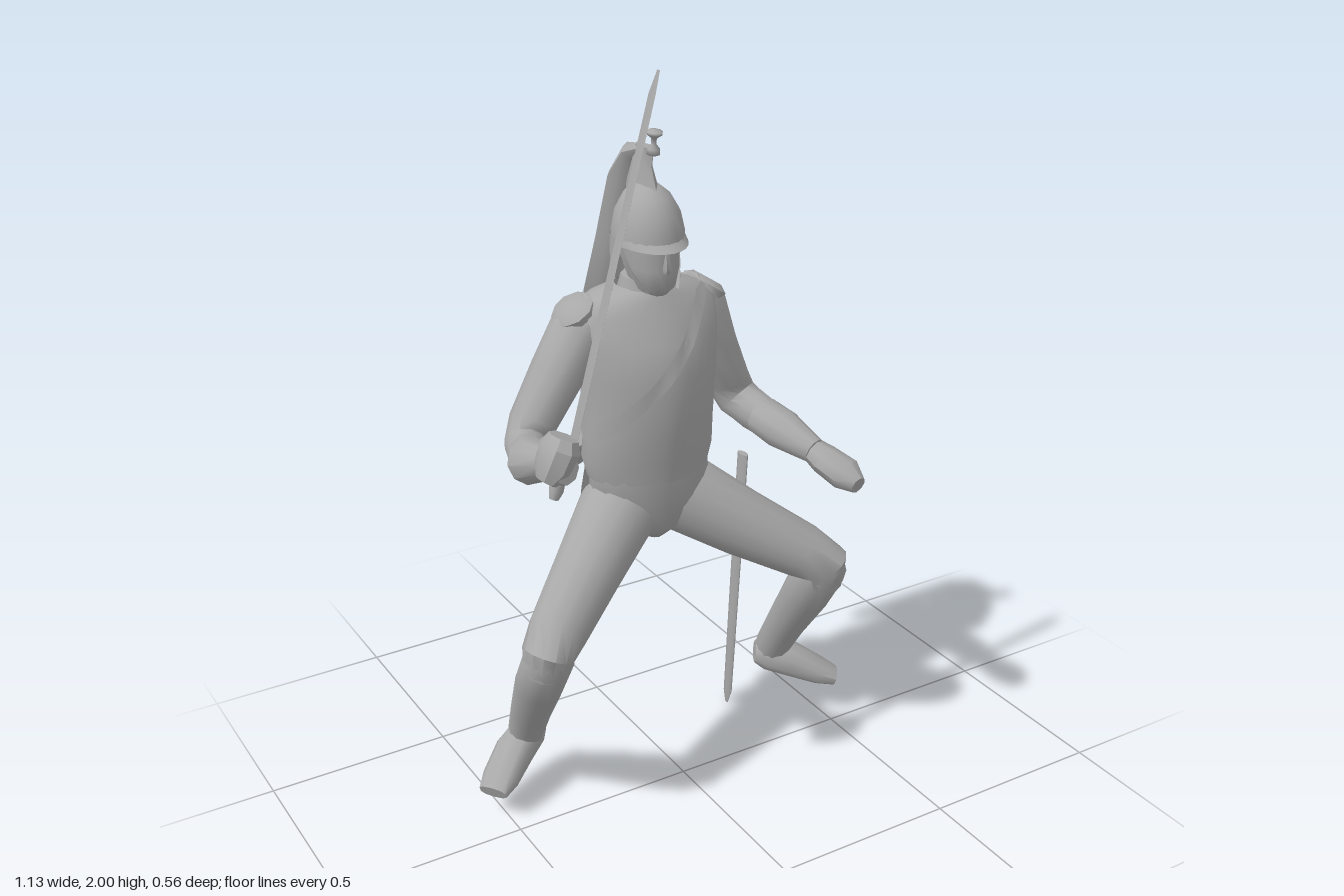
import * as THREE from 'three';
import { toCreasedNormals } from 'three/addons/utils/BufferGeometryUtils.js';

const X = new THREE.Vector3(1, 0, 0), Y = new THREE.Vector3(0, 1, 0);
const CX = -0.055; // body centre line

// Loft of oval rings [x, y, z, a, b]; a lies along ref, b across it
function loft(rows, { sides = 12, ref = X, axis = null, power = 2, crease = 0.85 } = {}) {
  const pos = [], idx = [], n = rows.length;
  const P = rows.map(r => new THREE.Vector3(r[0], r[1], r[2]));
  const bend = v => Math.sign(v) * Math.pow(Math.abs(v), 2 / power);
  P.forEach((p, i) => {
    const T = axis ? axis.clone() : new THREE.Vector3();
    if (!axis) {
      if (i > 0) T.add(p.clone().sub(P[i - 1]).normalize());
      if (i < n - 1) T.add(P[i + 1].clone().sub(p).normalize());
    }
    T.normalize();
    const U = ref.clone().addScaledVector(T, -T.dot(ref)).normalize();
    const V = T.clone().cross(U);
    const a = rows[i][3], b = rows[i][4] ?? a;
    for (let j = 0; j < sides; j++) {
      const t = j / sides * Math.PI * 2;
      const q = p.clone().addScaledVector(U, a * bend(Math.cos(t))).addScaledVector(V, b * bend(Math.sin(t)));
      pos.push(q.x, q.y, q.z);
    }
  });
  const first = n * sides, last = first + 1;
  pos.push(...P[0].toArray(), ...P[n - 1].toArray());
  for (let j = 0; j < sides; j++) {
    const k = (j + 1) % sides;
    for (let i = 0; i < n - 1; i++) {
      const a = i * sides + j, b = i * sides + k;
      idx.push(a, b, a + sides, b, b + sides, a + sides);
    }
    idx.push(first, k, j, last, (n - 1) * sides + j, (n - 1) * sides + k);
  }
  const g = new THREE.BufferGeometry();
  g.setAttribute('position', new THREE.Float32BufferAttribute(pos, 3));
  g.setIndex(idx);
  return toCreasedNormals(g, crease);
}

// Open sheet through rows of points
function sheet(rows) {
  const w = rows[0].length, idx = [];
  for (let i = 0; i < rows.length - 1; i++) for (let j = 0; j < w - 1; j++) {
    const a = i * w + j;
    idx.push(a, a + w, a + 1, a + 1, a + w, a + w + 1);
  }
  const g = new THREE.BufferGeometry();
  g.setAttribute('position', new THREE.Float32BufferAttribute(rows.flat(2), 3));
  g.setIndex(idx);
  return toCreasedNormals(g, 0.85);
}

// Torso rings: height, depth position, half width, half depth
const TORSO = [[0.92, -0.08, 0.165, 0.117], [0.97, -0.08, 0.178, 0.123], [1.05, -0.07, 0.173, 0.127],
  [1.2, -0.068, 0.18, 0.138], [1.29, -0.078, 0.19, 0.13], [1.36, -0.098, 0.2, 0.106],
  [1.395, -0.095, 0.15, 0.088], [1.415, -0.09, 0.075, 0.07]];

// Point on the torso at height y and angle t; the chest is more pointed than the back
function onTorso(y, t, out) {
  let i = 0;
  while (i < TORSO.length - 2 && y > TORSO[i + 1][0]) i++;
  const f = (y - TORSO[i][0]) / (TORSO[i + 1][0] - TORSO[i][0]);
  const [, z, a, b] = TORSO[i].map((v, k) => THREE.MathUtils.lerp(v, TORSO[i + 1][k], f));
  const s = Math.sin(t), c = Math.cos(t), e = s > 0 ? 1.12 : 0.84;
  const bend = v => Math.sign(v) * Math.pow(Math.abs(v), e);
  return [CX + (a + out) * bend(c), y, z + (b + out) * bend(s)];
}
const aroundTorso = (y, out) => Array.from({ length: 33 }, (_, i) => onTorso(y, i / 32 * Math.PI * 2, out));

export function createModel() {
  const model = new THREE.Group();
  const grey = new THREE.MeshStandardMaterial({ color: 0xa8a8a8, side: THREE.DoubleSide });
  grey.name = 'plain grey';
  const add = (name, geometry, parent = model) => {
    const m = new THREE.Mesh(geometry, grey);
    m.name = name;
    parent.add(m);
    return m;
  };

  // Body
  add('torso', sheet(TORSO.map(r => aroundTorso(r[0], 0))));
  add('pelvis', loft([[CX, 0.735, -0.08, 0.03, 0.05], [CX, 0.77, -0.08, 0.085, 0.085], [CX, 0.86, -0.08, 0.165, 0.11],
    [CX, 0.95, -0.08, 0.163, 0.112]], { sides: 16, axis: Y }));
  add('collar', loft([[CX, 1.38, -0.085, 0.08, 0.075], [CX, 1.44, -0.08, 0.066, 0.064]], { axis: Y }));

  // Cross belt slung from the left shoulder to the right hip
  add('crossBelt', sheet([-0.025, 0.025].map(off => Array.from({ length: 41 }, (_, i) => {
    const t = i / 40 * Math.PI * 2;
    let y = 1.2;
    for (let k = 0; k < 25; k++) {
      const want = THREE.MathUtils.clamp(1.22 + off + 1.1 * (onTorso(y, t, 0)[0] + 0.08), 0.95, 1.39 + off * 0.2);
      y += (want - y) * 0.4;
    }
    return onTorso(y, t, 0.005);
  }))));

  // Coat tails, two panels parted at the back
  for (const s of [-1, 1]) {
    const rows = [[0.95, 0, 0], [0.85, 0.012, 0.012], [0.74, 0.02, 0.02]].map(([y, wide, back]) =>
      [0.006, 0.06, 0.11, 0.155].map((d, k) => [CX + s * (d + wide * k / 3), y + k * 0.008,
        [-0.2, -0.192, -0.17, -0.125][k] - back]));
    add(s > 0 ? 'leftCoatTail' : 'rightCoatTail', sheet(rows));
  }
  const pouch = add('pouch', new THREE.BoxGeometry(0.14, 0.1, 0.04));
  pouch.position.set(-0.145, 0.96, -0.22);
  pouch.rotation.set(0.55, 0.25, 0.15);

  // Head and helmet
  add('head', loft([[CX, 1.4, -0.055, 0.035, 0.045], [CX, 1.42, -0.05, 0.052, 0.06], [CX, 1.47, -0.06, 0.066, 0.078],
    [CX, 1.55, -0.07, 0.072, 0.088]], { sides: 16, axis: Y }));
  add('nose', loft([[CX, 1.465, 0.012, 0.012, 0.01], [CX, 1.475, 0.016, 0.012, 0.012], [CX, 1.525, 0.012, 0.006, 0.006]],
    { sides: 6, axis: Y }));
  add('helmet', loft([[CX, 1.525, -0.075, 0.088, 0.1], [CX, 1.555, -0.075, 0.086, 0.099], [CX, 1.6, -0.076, 0.077, 0.089],
    [CX, 1.64, -0.078, 0.055, 0.066], [CX, 1.663, -0.08, 0.028, 0.034], [CX, 1.668, -0.08, 0.008, 0.01]],
    { sides: 20, axis: Y }));
  const arc = Array.from({ length: 13 }, (_, i) => Math.PI * i / 12);
  add('visor', sheet([[0.086, 0.098, 1.548], [0.09, 0.12, 1.53]].map(([a, b, y]) =>
    arc.map(t => [CX + a * Math.cos(t), y - 0.008 * Math.sin(t), -0.075 + b * Math.sin(t)]))));
  add('neckGuard', sheet([[0.087, 0.1, 1.54], [0.088, 0.098, 1.47], [0.1, 0.095, 1.39]].map(([a, b, y]) =>
    arc.map(t => [CX + a * Math.cos(t), y, -0.08 - b * Math.sin(t)]))));
  for (const s of [-1, 1]) {
    add(s > 0 ? 'leftChinStrap' : 'rightChinStrap', sheet([[0.08, 1.535, -0.09], [0.069, 1.47, -0.05], [0.04, 1.415, -0.01]]
      .map(([d, y, z]) => [[CX + s * d, y, z - 0.014], [CX + s * d, y, z + 0.014]])));
  }

  // Crest ridge, finial and horsehair tail
  add('crest', loft([[CX, 1.6, -0.1, 0.028, 0.075], [CX, 1.66, -0.1, 0.024, 0.065], [CX, 1.71, -0.1, 0.014, 0.045],
    [CX, 1.755, -0.085, 0.013, 0.04]], { sides: 8, axis: Y }));
  const finial = add('finial', new THREE.LatheGeometry([[0.001, 0], [0.017, 0.006], [0.015, 0.02], [0.006, 0.03],
    [0.007, 0.045], [0.02, 0.055], [0.02, 0.062], [0.001, 0.066]].map(p => new THREE.Vector2(...p)), 10));
  finial.position.set(CX, 1.737, -0.047);
  finial.rotation.x = 0.12;
  add('horsehairTail', loft([[CX, 1.745, -0.1, 0.012, 0.012], [CX, 1.725, -0.155, 0.026, 0.025], [-0.06, 1.66, -0.192, 0.04, 0.032],
    [-0.07, 1.5, -0.215, 0.055, 0.032], [-0.083, 1.36, -0.235, 0.068, 0.03], [-0.086, 1.25, -0.258, 0.05, 0.022]],
    { sides: 8, power: 1.4 }));

  // Arms: sleeve, cuff and hand
  const arm = (side, sleeve, cuff, hand) => {
    const g = new THREE.Group();
    g.name = side + 'Arm';
    model.add(g);
    add(side + 'Sleeve', loft(sleeve), g);
    add(side + 'Cuff', loft(cuff, { sides: 10 }), g);
    add(side + 'Hand', loft(hand, { sides: 8 }), g);
  };
  arm('left',
    [[0.06, 1.36, -0.11, 0.06], [0.115, 1.31, -0.12, 0.075, 0.08], [0.16, 1.2, -0.13, 0.065, 0.078],
      [0.21, 1.09, -0.13, 0.056, 0.072], [0.235, 1.035, -0.115, 0.052, 0.065], [0.25, 1.015, -0.06, 0.05, 0.056],
      [0.28, 0.985, 0.06, 0.042, 0.045]],
    [[0.256, 1.01, -0.03, 0.052], [0.275, 0.99, 0.04, 0.054], [0.306, 0.96, 0.14, 0.034]],
    [[0.3, 0.97, 0.11, 0.03, 0.026], [0.32, 0.945, 0.165, 0.042, 0.038], [0.345, 0.92, 0.225, 0.045, 0.042],
      [0.352, 0.905, 0.27, 0.022, 0.024]]);
  arm('right',
    [[-0.17, 1.36, -0.11, 0.06], [-0.225, 1.31, -0.12, 0.075, 0.08], [-0.29, 1.21, -0.12, 0.066, 0.076],
      [-0.365, 1.1, -0.11, 0.058, 0.07], [-0.395, 1.055, -0.09, 0.054, 0.062], [-0.415, 1.055, -0.03, 0.053, 0.056],
      [-0.44, 1.1, 0.1, 0.042, 0.045]],
    [[-0.425, 1.07, 0, 0.056], [-0.455, 1.085, 0.06, 0.058], [-0.45, 1.115, 0.15, 0.036]],
    [[-0.45, 1.115, 0.13, 0.03], [-0.455, 1.13, 0.17, 0.042, 0.045], [-0.46, 1.14, 0.22, 0.045, 0.05],
      [-0.46, 1.14, 0.255, 0.03, 0.037]]);

  // Epaulettes
  for (const s of [-1, 1]) {
    const e = add(s > 0 ? 'leftEpaulette' : 'rightEpaulette', loft([[0, -0.014, 0, 0.053, 0.064], [0, 0.004, 0, 0.056, 0.067],
      [0, 0.018, 0, 0.037, 0.046]], { sides: 10, axis: Y }));
    e.position.set(CX + s * 0.187, 1.366, -0.118);
    e.rotation.z = -s * 0.6;
  }

  // Legs: breeches, lower leg and foot
  const leg = (side, thigh, shin, foot) => {
    const g = new THREE.Group();
    g.name = side + 'Leg';
    model.add(g);
    add(side + 'Thigh', loft(thigh, { sides: 14 }), g);
    add(side + 'Boot', loft(shin, { sides: 12 }), g);
    add(side + 'Foot', loft(foot, { sides: 10, ref: Y, power: 2.6 }), g);
  };
  leg('left',
    [[-0.03, 0.86, -0.095, 0.09], [0.045, 0.82, -0.075, 0.104], [0.18, 0.728, 0.0, 0.09], [0.32, 0.643, 0.085, 0.074],
      [0.365, 0.608, 0.117, 0.068], [0.37, 0.55, 0.1, 0.058]],
    [[0.36, 0.64, 0.142, 0.045], [0.365, 0.598, 0.115, 0.066], [0.372, 0.48, 0.035, 0.066],
      [0.381, 0.33, -0.07, 0.055], [0.385, 0.22, -0.14, 0.05], [0.385, 0.18, -0.155, 0.045]],
    [[0.34, 0.195, -0.165, 0.03, 0.03], [0.37, 0.192, -0.15, 0.048, 0.046], [0.43, 0.17, -0.115, 0.046, 0.052],
      [0.5, 0.132, -0.07, 0.032, 0.05], [0.54, 0.114, -0.045, 0.02, 0.04]]);
  leg('right',
    [[-0.08, 0.86, -0.095, 0.09], [-0.155, 0.815, -0.075, 0.104], [-0.28, 0.717, 0.0, 0.09], [-0.41, 0.618, 0.08, 0.076],
      [-0.45, 0.58, 0.105, 0.068], [-0.452, 0.53, 0.09, 0.058]],
    [[-0.445, 0.607, 0.128, 0.045], [-0.448, 0.56, 0.1, 0.065], [-0.435, 0.45, 0.02, 0.064],
      [-0.41, 0.3, -0.09, 0.055], [-0.395, 0.19, -0.16, 0.049], [-0.395, 0.15, -0.175, 0.044]],
    [[-0.35, 0.175, -0.19, 0.03, 0.03], [-0.38, 0.17, -0.175, 0.048, 0.046], [-0.44, 0.144, -0.145, 0.047, 0.052],
      [-0.503, 0.101, -0.105, 0.033, 0.05], [-0.538, 0.084, -0.08, 0.02, 0.04]]);

  // Sword with blade, grip and bowl guard
  const sword = new THREE.Group();
  sword.name = 'sword';
  model.add(sword);
  add('blade', loft([[-0.435, 1.13, 0.212, 0.011, 0.017], [-0.2, 1.95, 0.2, 0.009, 0.015], [-0.182, 2.0, 0.198, 0.003, 0.006]],
    { sides: 4 }), sword);
  add('grip', loft([[-0.475, 1.055, 0.212, 0.012], [-0.468, 1.075, 0.212, 0.018], [-0.435, 1.18, 0.212, 0.013]],
    { sides: 8 }), sword);
  add('handGuard', loft([[-0.495, 1.105, 0.215, 0.025, 0.03], [-0.475, 1.135, 0.215, 0.045, 0.05],
    [-0.455, 1.18, 0.215, 0.046, 0.055], [-0.445, 1.205, 0.215, 0.034, 0.04]], { sides: 8, crease: 0.5 }), sword);

  // Scabbard with its sling
  add('scabbard', loft([[0.31, 0.82, -0.197, 0.01, 0.022], [0.303, 0.45, -0.215, 0.009, 0.021],
    [0.294, 0.04, -0.234, 0.008, 0.018], [0.292, 0.002, -0.236, 0.003, 0.006]], { sides: 8, axis: Y }));
  add('scabbardSling', sheet([[[0.05, 0.95, -0.205], [0.1, 0.94, -0.15]], [[0.17, 0.79, -0.225], [0.19, 0.79, -0.165]],
    [[0.305, 0.6, -0.23], [0.31, 0.63, -0.195]]]));
  return model;
}
